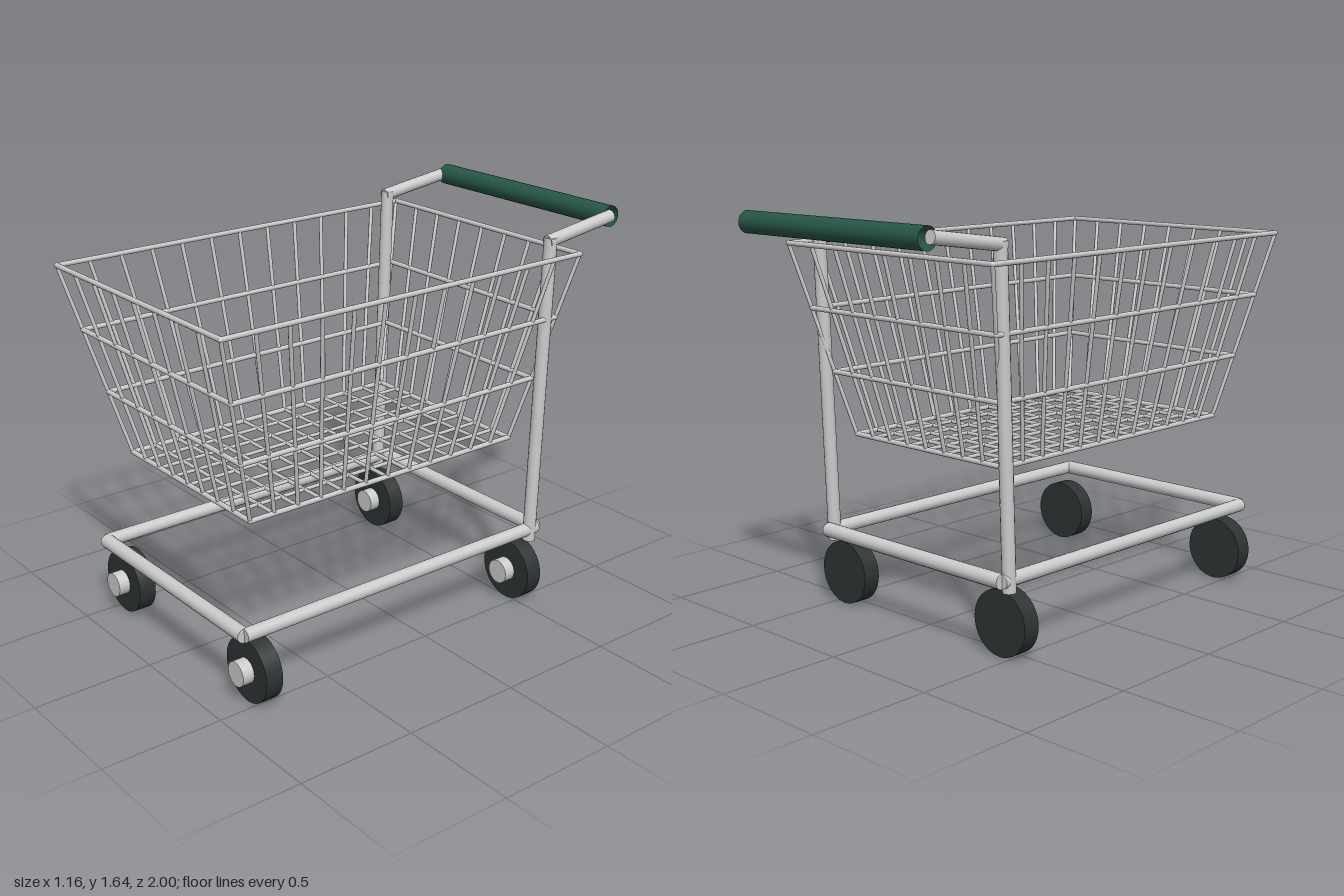
import * as THREE from 'three';

const steel = new THREE.MeshStandardMaterial({ color: 0xcccccc });
const rubber = new THREE.MeshStandardMaterial({ color: 0x2c3434 });
const grip = new THREE.MeshStandardMaterial({ color: 0x265646, side: THREE.DoubleSide });

const V = (x, y, z) => new THREE.Vector3(x, y, z);
const UP = V(0, 1, 0);

// Straight round bar between two points
function bar(parent, name, a, b, radius, material = steel, sides = 16, open = false) {
  const dir = b.clone().sub(a);
  const mesh = new THREE.Mesh(
    new THREE.CylinderGeometry(radius, radius, dir.length(), sides, 1, open), material);
  mesh.position.copy(a).add(b).multiplyScalar(0.5);
  mesh.quaternion.setFromUnitVectors(UP, dir.normalize());
  mesh.name = name;
  parent.add(mesh);
  return mesh;
}

function group(parent, name) {
  const g = new THREE.Group();
  g.name = name;
  parent.add(g);
  return g;
}

const lerp = THREE.MathUtils.lerp;

// Basket section at height fraction t (0 = floor, 1 = rim)
function section(t) {
  return { x: lerp(0.414, 0.567, t), y: lerp(0.723, 1.504, t), front: lerp(0.786, 0.988, t), back: lerp(-0.512, -0.715, t) };
}

function buildBasket(parent) {
  const basket = group(parent, 'basket');
  const rimR = 0.0105, wireR = 0.008, NX = 8, NZ = 12;
  const low = section(0), top = section(1);

  // Four horizontal hoops
  for (let i = 0; i < 4; i++) {
    const s = section(i / 3);
    const corners = [V(s.x, s.y, s.front), V(s.x, s.y, s.back), V(-s.x, s.y, s.back), V(-s.x, s.y, s.front)];
    corners.forEach((c, k) => {
      bar(basket, 'basketHoop', c, corners[(k + 1) % 4], rimR, steel, 10);
      const joint = new THREE.Mesh(new THREE.SphereGeometry(rimR, 10, 8), steel);
      joint.position.copy(c);
      joint.name = 'hoopCorner';
      basket.add(joint);
    });
  }

  // Front and back wall wires, and the floor wires running lengthwise
  for (let i = 0; i <= NX; i++) {
    const u = (i / NX) * 2 - 1;
    for (const end of ['front', 'back'])
      bar(basket, end + 'WallWire', V(u * low.x, low.y, low[end]), V(u * top.x, top.y, top[end]), wireR, steel, 8);
    if (i > 0 && i < NX)
      bar(basket, 'floorWire', V(u * low.x, low.y, low.front), V(u * low.x, low.y, low.back), wireR, steel, 8);
  }

  // Side wall wires, and the floor wires running across
  for (let i = 1; i < NZ; i++) {
    const zl = lerp(low.front, low.back, i / NZ);
    const zt = lerp(top.front, top.back, i / NZ);
    for (const s of [-1, 1])
      bar(basket, 'sideWallWire', V(s * low.x, low.y, zl), V(s * top.x, top.y, zt), wireR, steel, 8);
    bar(basket, 'floorWire', V(-low.x, low.y, zl), V(low.x, low.y, zl), wireR, steel, 8);
  }
}

function buildFrame(parent) {
  const frame = group(parent, 'frame');
  const r = 0.028, x = 0.5, y = 0.32, zf = 0.883, zb = -0.605;

  // Lower rectangle
  for (const z of [zf, zb]) bar(frame, 'crossTube', V(-x, y, z), V(x, y, z), r + 0.002);
  for (const s of [-1, 1]) {
    bar(frame, 'sideTube', V(s * x, y, zf), V(s * x, y, zb), r);

    // Upright post and the arm reaching back to the handle
    bar(frame, 'post', V(s * 0.503, 0.272, -0.568), V(s * 0.503, 1.575, -0.612), 0.027);
    bar(frame, 'handleArm', V(s * 0.503, 1.56, -0.595), V(s * 0.503, 1.609, -0.948), 0.026);
  }

  // Sleeve of the push handle, open at both ends
  bar(frame, 'handleGrip', V(-0.5, 1.605, -0.956), V(0.5, 1.605, -0.956), 0.044, grip, 24, true);
}

function buildWheel(parent, x, z) {
  const wheel = group(parent, 'wheel');
  wheel.position.set(x, 0.137, z);
  bar(wheel, 'tyre', V(0, 0, -0.037), V(0, 0, 0.037), 0.132, rubber, 40);
  bar(wheel, 'hub', V(0, 0, 0), V(0, 0, 0.086), 0.051, steel, 24);
}

export function createModel() {
  const model = new THREE.Group();
  model.name = 'shoppingCart';
  buildBasket(model);
  buildFrame(model);
  for (const x of [-0.45, 0.45]) for (const z of [0.807, -0.53]) buildWheel(model, x, z);
  return model;
}
